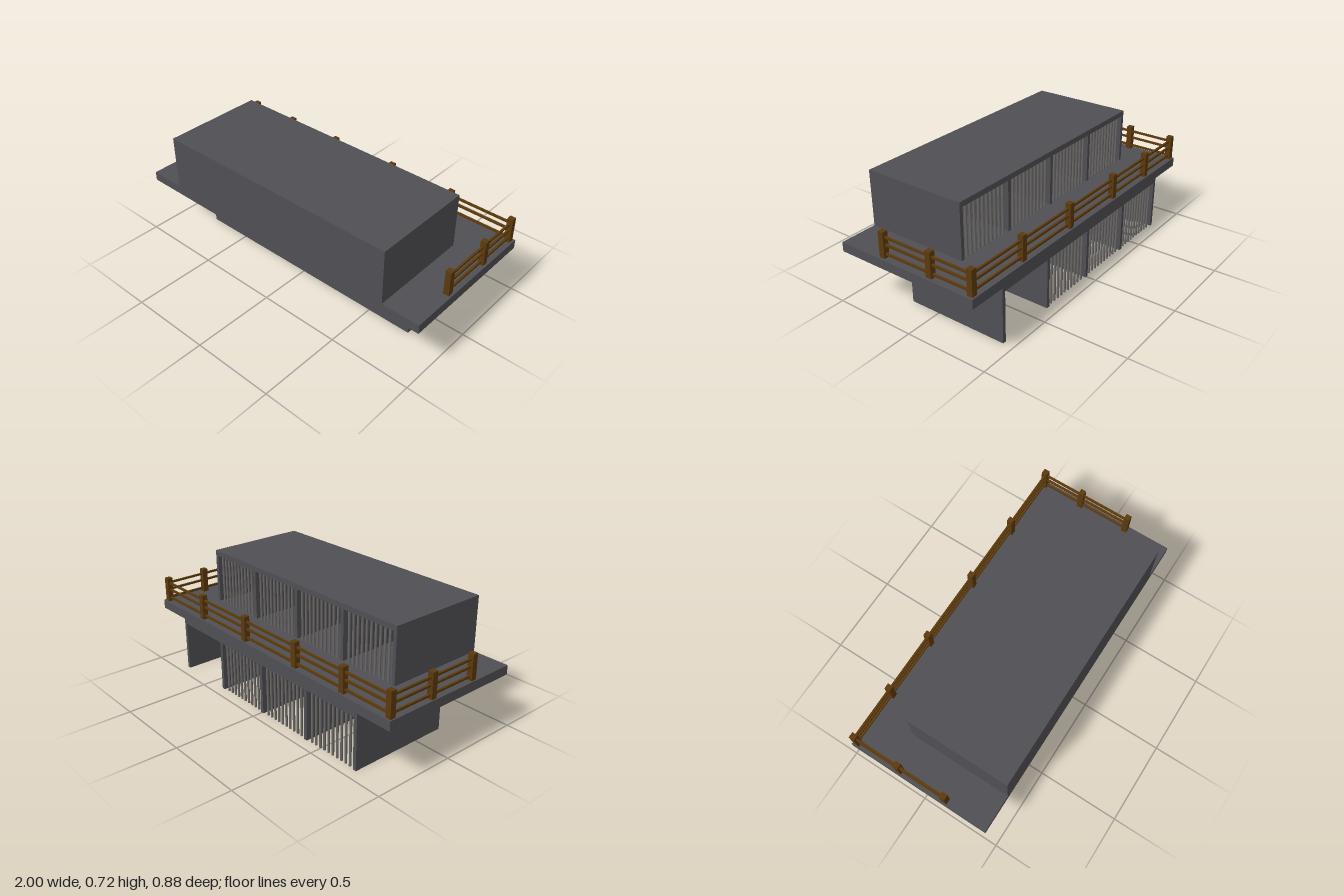
import * as THREE from 'three';

const concrete = new THREE.MeshStandardMaterial({ color: 0x504f54 });
concrete.name = 'concrete grey';
const steel = new THREE.MeshStandardMaterial({ color: 0x6c6967 });
steel.name = 'bar steel';
const wood = new THREE.MeshStandardMaterial({ color: 0x5c3a0c });
wood.name = 'railing brown';

// Box given by its min and max on each axis
function box(parent, name, mat, [x0, x1], [y0, y1], [z0, z1]) {
  const mesh = new THREE.Mesh(new THREE.BoxGeometry(x1 - x0, y1 - y0, z1 - z0), mat);
  mesh.position.set((x0 + x1) / 2, (y0 + y1) / 2, (z0 + z1) / 2);
  mesh.name = name;
  parent.add(mesh);
  return mesh;
}

const X0 = -0.775, X1 = 0.772, WALL = 0.022, CELLS = 4, BARS = 10;

// One storey of cells: closed at the front, barred at the back, no floor of its own
function cellBlock(name, y0, y1, zBack, zFront, openCell) {
  const g = new THREE.Group();
  g.name = name;
  const ceil = y1 - 0.032;
  box(g, 'ceiling', concrete, [X0, X1], [ceil, y1], [zBack, zFront]);
  box(g, 'frontWall', concrete, [X0, X1], [y0, ceil], [zFront - WALL, zFront]);

  // end walls and dividers
  const pitch = (X1 - X0 - WALL) / CELLS;
  for (let i = 0; i <= CELLS; i++) {
    const x = X0 + i * pitch;
    box(g, i % CELLS ? 'divider' : 'endWall', concrete, [x, x + WALL], [y0, ceil], [zBack, zFront - WALL]);
  }

  // upright bars across each closed cell
  for (let i = 0; i < CELLS; i++) {
    if (i === openCell) continue;
    const bars = new THREE.Group();
    bars.name = 'cellBars';
    const x = X0 + i * pitch + WALL, gap = (pitch - WALL) / (BARS + 1);
    for (let b = 1; b <= BARS; b++) {
      const bar = new THREE.Mesh(new THREE.CylinderGeometry(0.007, 0.007, ceil - y0, 8), steel);
      bar.position.set(x + b * gap, (y0 + ceil) / 2, zBack + 0.012);
      bar.name = 'bar';
      bars.add(bar);
    }
    g.add(bars);
  }
  return g;
}

// Railing around the back and both ends of the walkway
function railing() {
  const g = new THREE.Group();
  g.name = 'railing';
  const zB = -0.415, xL = 0.97, xR = -0.975, h = 0.017, t = 0.006;
  const posts = [
    ...[xR, -0.65, -0.28, 0.16, 0.58, xL].map((x) => [x, zB]),
    [xL, -0.155], [xL, 0.16], [xR, -0.13], [xR, 0.17],
  ];
  for (const [x, z] of posts) box(g, 'post', wood, [x - h, x + h], [0.39, 0.54], [z - h, z + h]);
  for (const y of [0.412, 0.465, 0.508]) {
    const ys = [y - t, y + t];
    box(g, 'backRail', wood, [xR, xL], ys, [zB - t, zB + t]);
    box(g, 'leftRail', wood, [xL - t, xL + t], ys, [zB, 0.16]);
    box(g, 'rightRail', wood, [xR - t, xR + t], ys, [zB, 0.17]);
  }
  return g;
}

export function createModel() {
  const model = new THREE.Group();
  model.name = 'cellBlockBuilding';
  box(model, 'walkwaySlab', concrete, [-1, 1], [0.335, 0.39], [-0.442, 0.442]);
  model.add(cellBlock('lowerCells', 0, 0.335, -0.437, 0.187, 3));
  model.add(cellBlock('upperCells', 0.39, 0.72, -0.181, 0.442, -1));
  model.add(railing());
  return model;
}
